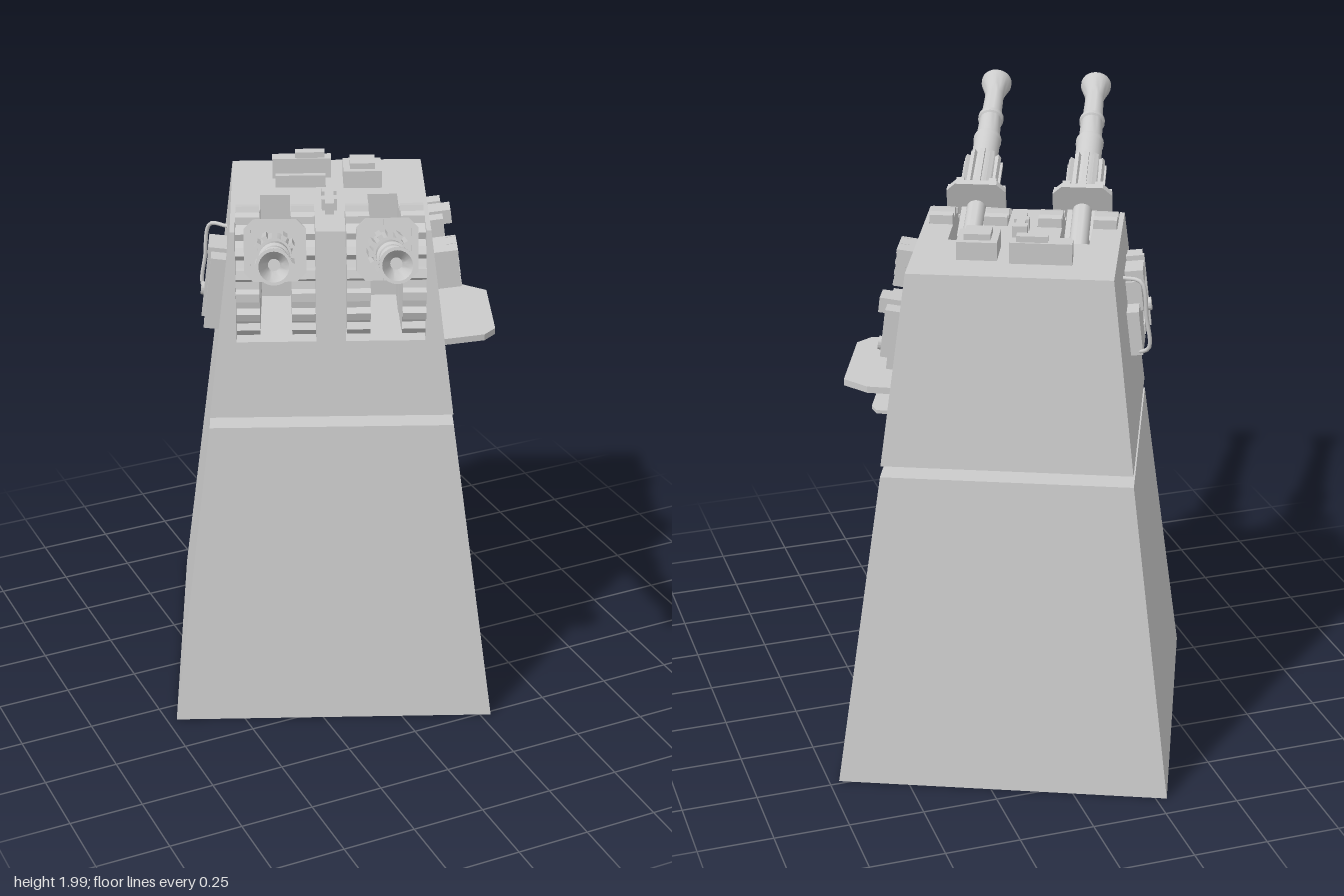
import * as THREE from 'three';
import { toCreasedNormals } from 'three/addons/utils/BufferGeometryUtils.js';

const flat = new THREE.MeshStandardMaterial({ color: 0xcccccc, flatShading: true, side: THREE.DoubleSide });
const smooth = new THREE.MeshStandardMaterial({ color: 0xcccccc, side: THREE.DoubleSide });

const Y0 = 1.1, Y1 = 1.73, SLOPE = 0.078 / 0.63;
const half = (y) => 0.405 - (y - Y0) * SLOPE; // half width of the turret at height y
const GUN_X = 0.18, BAY = 0.131, SLOT = 0.05, BAY_Y = 1.36, BAY_Z = 0.15;

function add(parent, name, geometry, x = 0, y = 0, z = 0, material = flat) {
  const mesh = new THREE.Mesh(geometry, material);
  mesh.name = name;
  mesh.position.set(x, y, z);
  parent.add(mesh);
  return mesh;
}

function box(parent, name, w, h, d, x, y, z) {
  return add(parent, name, new THREE.BoxGeometry(w, h, d), x, y, z);
}

function polygon(points) {
  return new THREE.Shape(points.map(([x, y]) => new THREE.Vector2(x, y)));
}

// Flat panel from an outline, each point placed in space by a rule
function panel(parent, name, outline, place) {
  const g = new THREE.ShapeGeometry(polygon(outline));
  const p = g.attributes.position;
  for (let i = 0; i < p.count; i++) p.setXYZ(i, ...place(p.getX(i), p.getY(i)));
  g.computeVertexNormals();
  return add(parent, name, g);
}

function frustum(parent, name, top, bottom, height, y) {
  const r = Math.SQRT2;
  const g = new THREE.CylinderGeometry(top * r, bottom * r, height, 4).rotateY(Math.PI / 4);
  return add(parent, name, g.toNonIndexed(), 0, y, 0);
}

function turretShell(parent) {
  const b = half(Y0), t = half(Y1);
  const side = [[-b, Y0], [b, Y0], [t, Y1], [-t, Y1]];
  panel(parent, 'turretLeftWall', side, (u, y) => [half(y), y, -u]);
  panel(parent, 'turretRightWall', side, (u, y) => [-half(y), y, u]);
  panel(parent, 'turretBackWall', side, (u, y) => [-u, y, -half(y)]);
  panel(parent, 'turretFloor', [[-b, -b], [b, -b], [b, b], [-b, b]], (x, z) => [x, Y0, z]);
  // Front wall and roof, notched for the two gun bays
  const front = [[-b, Y0], [b, Y0], [t, Y1]], roof = [[-t, -t], [t, -t], [t, t]];
  for (const c of [GUN_X, -GUN_X]) {
    front.push([c + BAY, Y1], [c + BAY, BAY_Y], [c - BAY, BAY_Y], [c - BAY, Y1]);
    roof.push([c + BAY, t], [c + BAY, BAY_Z], [c + SLOT, BAY_Z], [c + SLOT, 0],
      [c - SLOT, 0], [c - SLOT, BAY_Z], [c - BAY, BAY_Z], [c - BAY, t]);
  }
  front.push([-t, Y1]);
  roof.push([-t, t]);
  panel(parent, 'turretFrontWall', front, (x, y) => [x, y, half(y)]);
  panel(parent, 'turretRoof', roof, (x, z) => [x, Y1, z]);
}

// Inner walls of a bay, with a toothed elevation arc on both sides of the slot
function gunBay(parent, c) {
  const f = half(BAY_Y), t = half(Y1);
  panel(parent, 'bayFloor', [[-BAY, f], [BAY, f], [BAY, BAY_Z], [SLOT, BAY_Z], [SLOT, 0], [-SLOT, 0],
    [-SLOT, BAY_Z], [-BAY, BAY_Z]], (x, z) => [c + x, BAY_Y, z]);
  panel(parent, 'slotBack', [[-SLOT, BAY_Y], [SLOT, BAY_Y], [SLOT, Y1], [-SLOT, Y1]], (x, y) => [c + x, y, 0]);
  const arc = [];
  for (let i = 0; i <= 15; i++) {
    const r = i % 2 ? 0.228 : 0.205;
    for (const k of [0, 0.75]) {
      const a = THREE.MathUtils.degToRad(-50 + (i + k) * 9.6);
      arc.push([0.2 + r * Math.cos(a), 1.535 + r * Math.sin(a)]);
    }
  }
  arc.push([0.152, BAY_Y]);
  const w = BAY - SLOT - 0.004;
  for (const s of [-1, 1]) {
    panel(parent, 'baySide', [[BAY_Z, BAY_Y], [f, BAY_Y], [t, Y1], [BAY_Z, Y1]], (z, y) => [c + s * BAY, y, z]);
    panel(parent, 'slotSide', [[0, BAY_Y], [BAY_Z, BAY_Y], [BAY_Z, Y1], [0, Y1]], (z, y) => [c + s * SLOT, y, z]);
    panel(parent, 'bayBack', [[SLOT, BAY_Y], [BAY, BAY_Y], [BAY, Y1], [SLOT, Y1]], (x, y) => [c + s * x, y, BAY_Z]);
    const g = new THREE.ExtrudeGeometry(polygon(arc), { depth: w, bevelEnabled: false });
    g.translate(0, 0, -w / 2).rotateY(-Math.PI / 2);
    add(parent, 'elevationArc', g, c + s * (BAY + SLOT) / 2);
  }
}

function gun(parent, x) {
  const g = new THREE.Group();
  g.name = 'gun';
  g.position.set(x, 1.705, 0.42);
  g.rotation.x = -0.332;
  parent.add(g);
  // Barrel with stepped sleeves and a flared hollow muzzle
  const profile = [[0, -0.36], [0.024, -0.355], [0.033, -0.34], [0.033, 0], [0.046, 0], [0.046, 0.36], [0.049, 0.365],
    [0.049, 0.38], [0.041, 0.385], [0.039, 0.49], [0.045, 0.495], [0.045, 0.51], [0.036, 0.515],
    [0.033, 0.64], [0.04, 0.67], [0.054, 0.715], [0.054, 0.73], [0.045, 0.73], [0.025, 0.68], [0.018, 0.64], [0, 0.64]];
  const lathe = new THREE.LatheGeometry(profile.map(([r, y]) => new THREE.Vector2(r, y)), 24);
  add(g, 'barrel', toCreasedNormals(lathe.rotateX(Math.PI / 2), 0.6), 0, 0, 0, smooth);
  // Fluted cooling jacket
  const jacket = new THREE.CylinderGeometry(0.054, 0.058, 0.23, 24).rotateX(Math.PI / 2);
  add(g, 'coolingJacket', toCreasedNormals(jacket, 0.6), 0, 0, 0.125, smooth);
  for (let i = 0; i < 12; i++) {
    const a = i * Math.PI / 6;
    box(g, 'jacketRib', 0.016, 0.015, 0.225, Math.sin(a) * 0.06, Math.cos(a) * 0.06, 0.125).rotation.z = -a;
  }
  // Mounting plate with studs round its rim
  const q = 0.1, k = 0.07;
  const plate = polygon([[-q, -k], [-k, -q], [k, -q], [q, -k], [q, k], [k, q], [-k, q], [-q, k]]);
  add(g, 'mountingPlate', new THREE.ExtrudeGeometry(plate, { depth: 0.022, bevelEnabled: false }), 0, 0, -0.012);
  for (const s of [-1, 1]) {
    for (const u of [-0.055, 0, 0.055]) {
      box(g, 'plateStud', 0.026, 0.02, 0.035, u, s * 0.088, 0.01);
      box(g, 'plateStud', 0.02, 0.026, 0.035, s * 0.088, u, 0.01);
    }
    box(g, 'cradleArm', 0.02, 0.05, 0.17, s * 0.04, -0.02, -0.09);
  }
  box(g, 'cradleBlock', 0.08, 0.06, 0.1, 0, -0.04, -0.06);
}

// Group lying on a side wall: x runs along the wall, y up it, z outward
function wallGroup(parent, side, name) {
  const g = new THREE.Group();
  g.name = name;
  g.position.set(side * half(1.49), 1.49, 0);
  g.rotation.set(-Math.atan(SLOPE), side * Math.PI / 2, 0, 'YXZ');
  parent.add(g);
  return g;
}

function knob(parent, x, y, z) {
  const g = new THREE.CylinderGeometry(0.022, 0.022, 0.05, 16).rotateX(Math.PI / 2);
  add(parent, 'knob', toCreasedNormals(g, 0.6), x, y, z, smooth);
}

function leftFittings(parent) {
  const g = wallGroup(parent, 1, 'leftFittings');
  // Slatted vent
  box(g, 'ventBack', 0.13, 0.13, 0.05, -0.21, 0.075, 0.02);
  for (let i = 0; i < 4; i++) box(g, 'ventSlat', 0.13, 0.014, 0.04, -0.21, 0.018 + i * 0.038, 0.06);
  for (const u of [-0.27, -0.21, -0.15]) box(g, 'ventPost', 0.012, 0.13, 0.035, u, 0.075, 0.06);
  // Equipment cluster
  box(g, 'tallPanel', 0.055, 0.21, 0.05, 0.13, -0.005, 0.025);
  box(g, 'topBox', 0.075, 0.05, 0.08, 0.19, 0.085, 0.04);
  box(g, 'lowerPanel', 0.12, 0.09, 0.03, 0.215, -0.065, 0.015);
  box(g, 'sidePanel', 0.055, 0.16, 0.05, 0.285, 0.025, 0.025);
  box(g, 'crossBar', 0.09, 0.035, 0.05, 0.25, 0.01, 0.025);
  knob(g, 0.2, -0.055, 0.045);
  // Shelves
  const shelf = (name, pts, y, h) => {
    const s = new THREE.ExtrudeGeometry(polygon(pts), { depth: h, bevelEnabled: false });
    add(parent, name, s.rotateX(Math.PI / 2), 0, y, 0);
  };
  shelf('shelf', [[0.36, -0.23], [0.47, -0.225], [0.555, -0.17], [0.56, 0.15], [0.52, 0.2], [0.36, 0.24]], 1.298, 0.022);
  shelf('lowerShelf', [[0.37, -0.24], [0.44, -0.235], [0.46, -0.2], [0.46, 0.03], [0.43, 0.08], [0.37, 0.08]], 1.221, 0.012);
}

function rightFittings(parent) {
  const g = wallGroup(parent, -1, 'rightFittings');
  box(g, 'lowerPanel', 0.16, 0.15, 0.04, 0.06, -0.06, 0.02);
  box(g, 'stepBlock', 0.06, 0.1, 0.05, 0.09, 0.04, 0.025);
  box(g, 'upperBlock', 0.1, 0.05, 0.06, 0.12, 0.1, 0.03);
  box(g, 'linkBar', 0.1, 0.035, 0.045, 0.17, -0.1, 0.022);
  box(g, 'tallPanel', 0.06, 0.25, 0.05, 0.25, 0, 0.025);
  box(g, 'panelRib', 0.02, 0.25, 0.06, 0.2, 0.01, 0.03);
  knob(g, 0.17, -0.03, 0.045);
  // Bent grab rail
  const path = new THREE.CatmullRomCurve3([[0, 0.13, 0], [-0.03, 0.12, 0.06], [-0.035, 0, 0.065], [-0.03, -0.11, 0.06],
    [0, -0.13, 0]].map((p) => new THREE.Vector3(...p)));
  add(g, 'grabRail', new THREE.TubeGeometry(path, 24, 0.007, 8), 0, 0, 0, smooth);
}

function roofFittings(parent) {
  box(parent, 'rearBar', 0.2, 0.07, 0.05, -0.088, 1.765, -0.18);
  box(parent, 'rearBarCap', 0.1, 0.02, 0.035, -0.06, 1.81, -0.18);
  box(parent, 'frontBar', 0.17, 0.045, 0.022, -0.093, 1.75, -0.078);
  box(parent, 'frontBarStep', 0.17, 0.03, 0.022, -0.093, 1.745, -0.102);
  box(parent, 'hatch', 0.13, 0.06, 0.13, 0.117, 1.76, -0.121);
  box(parent, 'hatchLid', 0.085, 0.02, 0.085, 0.117, 1.8, -0.121);
  for (let i = 0; i < 4; i++) box(parent, 'ridgeBlock', i % 2 ? 0.03 : 0.05, 0.04, 0.036, 0, 1.75, 0.055 + i * 0.036);
}

export function createModel() {
  const model = new THREE.Group();
  model.name = 'gunTower';
  const tower = new THREE.Group();
  tower.name = 'tower';
  tower.position.z = -0.2;
  tower.rotation.y = -0.407;
  model.add(tower);

  frustum(tower, 'base', 0.407, 0.546, 1.062, 0.531);
  const ring = new THREE.CylinderGeometry(0.255, 0.255, 0.05, 40);
  add(tower, 'turntable', toCreasedNormals(ring, 0.6), 0, 1.081, 0, smooth);
  turretShell(tower);
  for (const x of [-GUN_X, GUN_X]) {
    gunBay(tower, x);
    gun(tower, x);
  }
  leftFittings(tower);
  rightFittings(tower);
  roofFittings(tower);
  return model;
}
